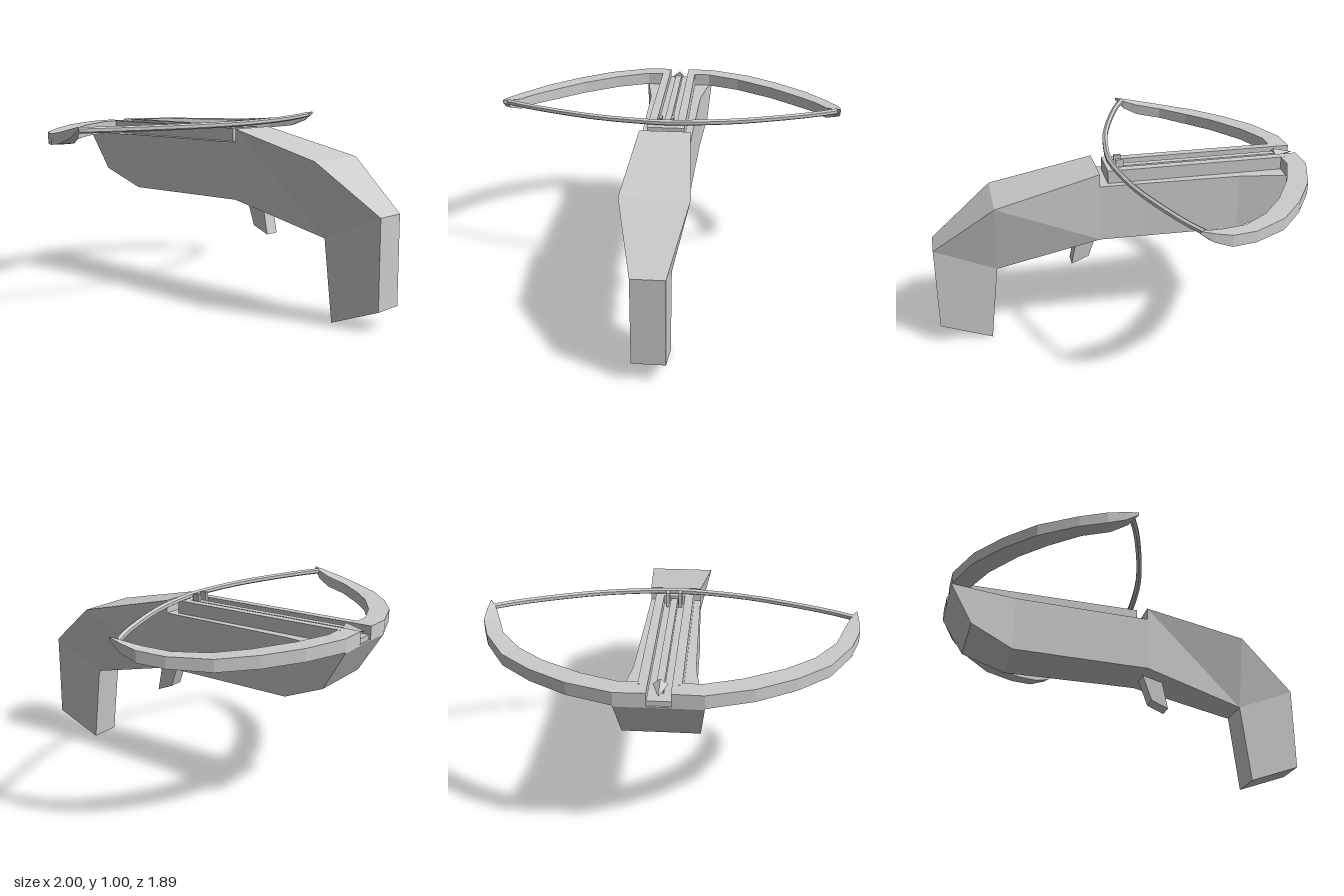
import * as THREE from 'three';

const material = new THREE.MeshStandardMaterial({ color: 0xcccccc, flatShading: true });

// Skin a list of equal-length rings; each ring runs counter-clockwise seen from the far end.
function loft(rings) {
  const pos = [];
  const tri = (a, b, c) => pos.push(...a, ...b, ...c);
  for (let k = 0; k < rings.length - 1; k++) {
    const p = rings[k], q = rings[k + 1];
    for (let i = 0; i < p.length; i++) {
      const j = (i + 1) % p.length;
      tri(p[i], p[j], q[j]);
      tri(p[i], q[j], q[i]);
    }
  }
  const s = rings[0], e = rings[rings.length - 1];
  for (let i = 1; i < s.length - 1; i++) {
    tri(s[0], s[i + 1], s[i]);
    tri(e[0], e[i], e[i + 1]);
  }
  const g = new THREE.BufferGeometry();
  g.setAttribute('position', new THREE.Float32BufferAttribute(pos, 3));
  g.computeVertexNormals();
  return g;
}

// Stock cross-section at x: bottom and top heights with their half widths.
const section = ([x, y0, w0, y1, w1]) => [[x, y0, w0], [x, y0, -w0], [x, y1, -w1], [x, y1, w1]];

// Side outline extruded across z.
function plate(points, halfWidth) {
  const shape = new THREE.Shape(points.map(p => new THREE.Vector2(...p)));
  return new THREE.ExtrudeGeometry(shape, { depth: 2 * halfWidth, bevelEnabled: false }).translate(0, 0, -halfWidth);
}

function box(x0, x1, y0, y1, z0, z1) {
  return new THREE.BoxGeometry(x1 - x0, y1 - y0, z1 - z0)
    .translate((x0 + x1) / 2, (y0 + y1) / 2, (z0 + z1) / 2);
}

export function createModel() {
  const group = new THREE.Group();
  const add = (name, geometry) => {
    const mesh = new THREE.Mesh(geometry, material);
    mesh.name = name;
    group.add(mesh);
    return mesh;
  };

  // Stock: low fore-end, raised rear and pistol grip
  add('foreStock', loft([
    [-1, 0.885, 0.205, 0.89, 0.205],
    [-0.88, 0.68, 0.185, 0.89, 0.185],
    [-0.65, 0.58, 0.15, 0.89, 0.15],
    [-0.1, 0.58, 0.138, 0.89, 0.138],
    [0.11, 0.58, 0.135, 0.89, 0.135],
  ].map(section)));
  add('rearStock', loft([
    [0.11, 0.58, 0.135, 0.96, 0.135],
    [0.67, 0.435, 0.085, 0.83, 0.175],
    [1, 0.574, 0.085, 0.576, 0.085],
  ].map(section)));
  add('grip', plate([[0.67, 0.435], [0.72, 0.005], [1, 0.11], [1, 0.575]], 0.085));
  add('trigger', plate([[0.11, 0.58], [0.16, 0.435], [0.255, 0.395], [0.225, 0.55]], 0.04));

  // Grooved track
  add('trackFloor', box(-0.99, 0.06, 0.885, 0.915, -0.06, 0.06));
  add('trackEnd', box(0.01, 0.06, 0.885, 0.96, -0.06, 0.06));
  for (const s of [-1, 1]) {
    const [a, b] = s > 0 ? [0.055, 0.1] : [-0.1, -0.055];
    add(s > 0 ? 'leftRail' : 'rightRail', box(-0.92, 0.06, 0.885, 0.96, a, b));
  }

  // Bow limbs: outer x, z, inner x, z, bottom and top heights
  const limb = [
    [-1, 0.055, -0.9, 0.055, 0.89, 0.96],
    [-1, 0.205, -0.9, 0.19, 0.89, 0.958],
    [-0.92, 0.43, -0.83, 0.37, 0.888, 0.953],
    [-0.8, 0.62, -0.71, 0.57, 0.882, 0.946],
    [-0.66, 0.78, -0.59, 0.71, 0.88, 0.942],
    [-0.48, 0.895, -0.45, 0.82, 0.892, 0.95],
    [-0.35, 0.942, -0.32, 0.87, 0.907, 0.966],
    [-0.26, 0.945, -0.24, 0.905, 0.94, 0.985],
    [-0.195, 0.94, -0.195, 0.935, 0.985, 1.0],
  ];
  for (const s of [1, -1]) {
    const rings = limb.map(([xo, zo, xi, zi, y0, y1]) => {
      const r = [[xo, y0, s * zo], [xi, y0, s * zi], [xi, y1, s * zi], [xo, y1, s * zo]];
      return s > 0 ? r : r.reverse();
    });
    add(s > 0 ? 'leftLimb' : 'rightLimb', loft(rings));
  }

  // Bowstring
  const half = [[-0.225, 0.92], [-0.16, 0.79], [-0.025, 0.4], [0.022, 0.14]];
  const path = [...half, [0.033, 0], ...half.map(([x, z]) => [x, -z]).reverse()]
    .map(([x, z]) => new THREE.Vector3(x, 0.98, z));
  add('string', new THREE.TubeGeometry(new THREE.CatmullRomCurve3(path), 20, 0.016, 6));

  // Bolt: shaft, flattened head and two fletchings
  add('boltShaft', box(-0.92, 0.0, 0.915, 0.95, -0.018, 0.018));
  const head = new THREE.ConeGeometry(0.036, 0.11, 4).rotateZ(Math.PI / 2)
    .scale(1, 0.75, 1).translate(-0.945, 0.945, 0);
  add('boltHead', head);
  for (const s of [-1, 1]) {
    add('fletching', box(-0.035, 0.005, 0.915, 0.995, s * 0.032 - 0.009, s * 0.032 + 0.009));
  }
  return group;
}
